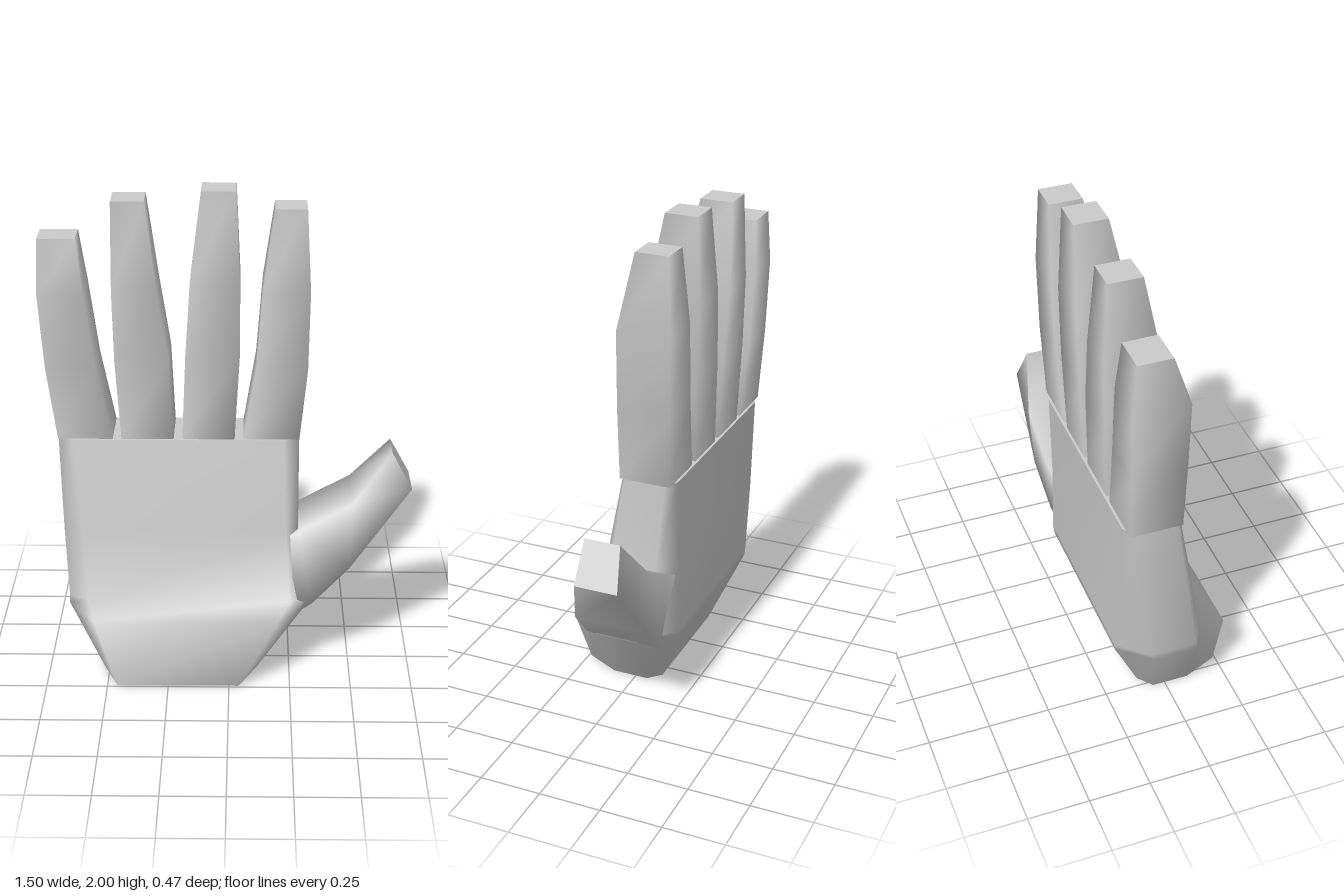
import * as THREE from 'three';

const material = new THREE.MeshStandardMaterial({ color: 0xcccccc });

// Smooth skin through equal-sized rings of [x, y, z] (counter-clockwise about
// the direction of travel), closed by flat caps with their own vertices.
function loft(name, rings) {
  const n = rings[0].length;
  const positions = rings.flat();
  const index = [];
  for (let r = 0; r < rings.length - 1; r++) {
    for (let i = 0; i < n; i++) {
      const a = r * n + i, b = r * n + (i + 1) % n;
      index.push(a, b, b + n, a, b + n, a + n);
    }
  }
  const cap = (ring) => {
    const start = positions.length;
    positions.push(...ring);
    for (let i = 1; i < n - 1; i++) index.push(start, start + i, start + i + 1);
  };
  cap([...rings[0]].reverse());
  cap(rings[rings.length - 1]);

  const geometry = new THREE.BufferGeometry();
  geometry.setAttribute('position', new THREE.Float32BufferAttribute(positions.flat(), 3));
  geometry.setIndex(index);
  geometry.computeVertexNormals();
  const mesh = new THREE.Mesh(geometry, material);
  mesh.name = name;
  return mesh;
}

// Eight-sided palm section: flat front, side and back with bevelled corners
function palmRing([y, zFront, frontL, frontR, sideFront, sideBack, sideL, sideR, zBack, backL, backR]) {
  return [
    [sideR, y, sideFront], [sideR, y, sideBack],
    [backR, y, zBack], [backL, y, zBack],
    [sideL, y, sideBack], [sideL, y, sideFront],
    [frontL, y, zFront], [frontR, y, zFront],
  ];
}

// Four-sided finger section
function fingerRing([y, x0, x1], zFront, zBack) {
  return [[x1, y, zFront], [x1, y, zBack], [x0, y, zBack], [x0, y, zFront]];
}

// Four-sided thumb section from its lower and upper edges
function thumbRing([lx, ly, lFront, lBack], [ux, uy, uFront, uBack]) {
  return [[lx, ly, lFront], [lx, ly, lBack], [ux, uy, uBack], [ux, uy, uFront]];
}

export function createModel() {
  const hand = new THREE.Group();
  hand.name = 'hand';

  // Palm, with the thick heel stepping in just above y = 0.3
  hand.add(loft('palm', [
    [0.00, 0.24, -0.46, 0.04, 0.10, -0.05, -0.52, 0.11, -0.10, -0.46, 0.06],
    [0.30, 0.24, -0.55, 0.20, 0.08, -0.10, -0.66, 0.32, -0.23, -0.55, 0.20],
    [0.33, 0.12, -0.58, 0.25, 0.07, -0.12, -0.66, 0.34, -0.23, -0.56, 0.22],
    [0.62, 0.07, -0.60, 0.23, 0.03, -0.16, -0.675, 0.28, -0.23, -0.60, 0.20],
    [1.00, 0.00, -0.63, 0.22, -0.03, -0.20, -0.69, 0.28, -0.23, -0.63, 0.22],
  ].map(palmRing)));

  // Fingers: [y, inner x, outer x] at base, lower joint, upper joint and tip
  const fingers = {
    littleFinger: [[1, -0.69, -0.47], [1.3, -0.73, -0.53], [1.6, -0.75, -0.57], [1.81, -0.75, -0.6]],
    ringFinger: [[1, -0.435, -0.225], [1.33, -0.455, -0.24], [1.62, -0.46, -0.285], [1.96, -0.46, -0.33]],
    middleFinger: [[1, -0.19, 0.02], [1.35, -0.175, 0.04], [1.65, -0.155, 0.04], [2, -0.11, 0.025]],
    indexFinger: [[1, 0.055, 0.28], [1.3, 0.105, 0.31], [1.62, 0.13, 0.315], [1.93, 0.175, 0.3]],
  };
  const depths = [[-0.01, -0.22], [-0.015, -0.23], [-0.015, -0.235], [-0.085, -0.22]];
  for (const [name, sections] of Object.entries(fingers)) {
    hand.add(loft(name, sections.map((s, i) => fingerRing(s, ...depths[i]))));
  }

  // Thumb, rooted inside the palm and angled outwards
  hand.add(loft('thumb', [
    thumbRing([0.18, 0.20, 0.10, -0.15], [0.16, 0.56, 0.06, -0.21]),
    thumbRing([0.34, 0.32, 0.115, -0.20], [0.28, 0.62, 0.06, -0.23]),
    thumbRing([0.49, 0.47, 0.09, -0.22], [0.50, 0.74, 0.05, -0.235]),
    thumbRing([0.745, 0.77, -0.035, -0.21], [0.66, 0.93, -0.04, -0.185]),
  ]));

  return hand;
}
